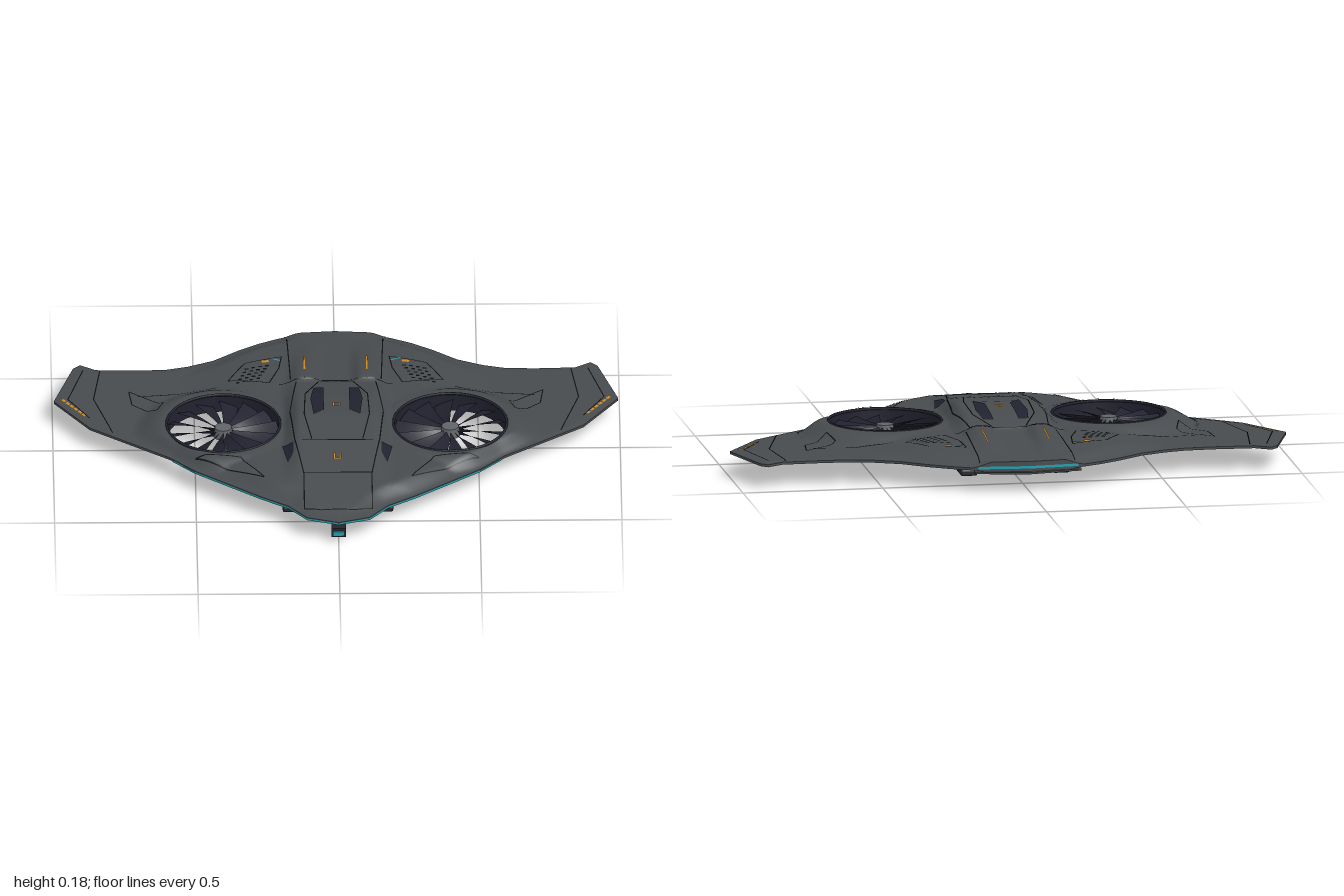
import * as THREE from 'three';
import { RoundedBoxGeometry } from 'three/addons/geometries/RoundedBoxGeometry.js';

const paint = (name, color, side = THREE.FrontSide) => {
  const m = new THREE.MeshStandardMaterial({ color, side });
  m.name = name;
  return m;
};
const V = (x, y, z) => new THREE.Vector3(x, y, z);
const smooth = (a, b, t) => THREE.MathUtils.smoothstep(t, a, b);
const mix = THREE.MathUtils.lerp;

// Piecewise linear profile, points sorted by their first value
function profile(pts, t) {
  for (let i = 1; i < pts.length; i++) {
    const [a, u] = pts[i - 1], [b, v] = pts[i];
    if (t <= b) return mix(u, v, Math.max(0, (t - a) / (b - a)));
  }
  return pts[pts.length - 1][1];
}

// Half planform [x, z] from nose to wing tip to tail
const OUTLINE = [[0, 0.655], [0.11, 0.62], [0.175, 0.54], [0.27, 0.475], [0.5, 0.295], [0.59, 0.2],
  [0.87, -0.01], [0.995, -0.195], [0.925, -0.42], [0.9, -0.445], [0.845, -0.41], [0.7, -0.405],
  [0.595, -0.41], [0.52, -0.43], [0.43, -0.47], [0.34, -0.54], [0.27, -0.585], [0.2, -0.62], [0, -0.638]];
const EDGE_SEGMENTS = OUTLINE.length - 2; // the blunt tail does not thin out
const FAN = { x: 0.4, z: 0.04, r: 0.2 };
const SPINE = [[-0.66, 0.108], [-0.24, 0.138], [-0.23, 0.148], [-0.1, 0.17], [0, 0.179], [0.06, 0.183],
  [0.2, 0.17], [0.4, 0.14], [0.55, 0.11], [0.66, 0.09]];
const KEEL = [[-0.66, 0.07], [-0.25, 0.065], [-0.07, 0.04], [0.2, 0.03], [0.4, 0.037], [0.6, 0.045], [0.66, 0.06]];

function edgeDistance(x, z) {
  let best = 9;
  for (let i = 0; i < EDGE_SEGMENTS; i++) {
    const [ax, az] = OUTLINE[i], dx = OUTLINE[i + 1][0] - ax, dz = OUTLINE[i + 1][1] - az;
    const t = THREE.MathUtils.clamp(((x - ax) * dx + (z - az) * dz) / (dx * dx + dz * dz), 0, 1);
    best = Math.min(best, Math.hypot(x - ax - t * dx, z - az - t * dz));
  }
  return best;
}
const nearFan = (x, z) => 1 - smooth(0.215, 0.33, Math.hypot(x - FAN.x, z - FAN.z));

// Height of the upper skin
function top(x, z) {
  x = Math.abs(x);
  const d = edgeDistance(x, z), spine = profile(SPINE, z);
  const body = mix(spine, Math.min(spine, 0.13), smooth(0.13, 0.2, x));
  const hump = 0.022 * smooth(0.045, 0.09, x) * (1 - smooth(0.12, 0.18, x))
    * smooth(-0.62, -0.26, z) * (1 - smooth(-0.24, -0.225, z));
  const bodyLift = (body + hump - 0.09) * (1 - smooth(0.25, 0.6, x)) * smooth(0, 0.08, d);
  return 0.09 + Math.max(0.003 * smooth(0, 0.03, d), bodyLift, 0.045 * nearFan(x, z) * smooth(0, 0.06, d));
}
// Height of the lower skin
function bottom(x, z) {
  x = Math.abs(x);
  const d = edgeDistance(x, z);
  const drop = (0.081 - profile(KEEL, z)) * (1 - smooth(0.15, 0.55, x)) * smooth(0, 0.08, d);
  return 0.081 - Math.max(0, drop, 0.016 * nearFan(x, z) * smooth(0, 0.06, d));
}

// Surface through rows of points
function grid(rows) {
  const n = rows[0].length, index = [];
  for (let i = 0; i < rows.length - 1; i++) for (let j = 0; j < n - 1; j++) {
    const a = i * n + j, d = a + n;
    index.push(a, a + 1, d + 1, a, d + 1, d);
  }
  const g = new THREE.BufferGeometry().setFromPoints(rows.flat());
  g.setIndex(index);
  g.computeVertexNormals();
  return g;
}
function mirrored(geo) {
  const g = geo.clone().scale(-1, 1, 1), a = g.index.array;
  for (let i = 0; i < a.length; i += 3) [a[i], a[i + 1]] = [a[i + 1], a[i]];
  return g;
}
function subdivide(pts, step) {
  const out = [];
  for (let i = 0; i < pts.length - 1; i++) {
    const [ax, az] = pts[i], [bx, bz] = pts[i + 1], n = Math.ceil(Math.hypot(bx - ax, bz - az) / step);
    for (let k = 0; k < n; k++) out.push([mix(ax, bx, k / n), mix(az, bz, k / n)]);
  }
  return [...out, pts[pts.length - 1]];
}
// Four-cornered decal draped over a skin
function patch([a, b, c, d], skin = top, lift = 0.003, n = 8, m = 8) {
  const rows = [];
  for (let i = 0; i <= n; i++) rows.push(Array.from({ length: m + 1 }, (_, j) => {
    const u = i / n, v = j / m;
    const x = mix(mix(a[0], b[0], u), mix(d[0], c[0], u), v), z = mix(mix(a[1], b[1], u), mix(d[1], c[1], u), v);
    return V(x, skin(x, z) + lift, z);
  }));
  return grid(rows);
}
// Thin draped line between two points
function line([ax, az], [bx, bz], w = 0.004, skin = top, lift = 0.002) {
  const len = Math.hypot(bx - ax, bz - az), nx = -(bz - az) / len * w / 2, nz = (bx - ax) / len * w / 2;
  return patch([[ax + nx, az + nz], [bx + nx, bz + nz], [bx - nx, bz - nz], [ax - nx, az - nz]], skin, lift,
    Math.ceil(len / 0.02), 1);
}

export function createModel() {
  const model = new THREE.Group();
  const hull = paint('hull grey', 0x474b4e);
  const dark = paint('fan dark', 0x222230, THREE.DoubleSide);
  const black = paint('panel line black', 0x0c0d0f, THREE.DoubleSide);
  const orange = paint('marking orange', 0xd08a1c, THREE.DoubleSide);
  const cyan = paint('light cyan', 0x1f9fb0, THREE.DoubleSide);
  const metal = paint('strut metal', 0x606468);
  const gear = paint('gear dark', 0x25262d);
  const add = (name, geo, mat) => {
    const m = new THREE.Mesh(geo, mat);
    m.name = name;
    model.add(m);
  };
  const both = (name, geo, mat) => { add(name + 'Left', geo, mat); add(name + 'Right', mirrored(geo), mat); };

  // Hull skins: rays from the fan opening out to the planform edge
  const rim = subdivide(OUTLINE, 0.025), loop = subdivide([...OUTLINE, OUTLINE[0]], 0.022);
  const skinRows = (skin) => loop.map(([x, z]) => {
    const dx = x - FAN.x, dz = z - FAN.z, len = Math.hypot(dx, dz);
    return Array.from({ length: 29 }, (_, j) => {
      const r = mix(FAN.r, len, j / 28), px = FAN.x + dx / len * r, pz = FAN.z + dz / len * r;
      return V(px, skin(px, pz), pz);
    });
  });
  const upper = skinRows(top), lower = skinRows(bottom);
  both('upperHull', grid(upper), hull);
  both('lowerHull', grid(lower.map((r) => [...r].reverse())), hull);
  both('hullEdge', grid(rim.map(([x, z]) => [V(x, top(x, z), z), V(x, bottom(x, z), z)])), hull);
  both('fanDuct', grid(upper.map((r, i) => [lower[i][0], r[0]])), dark);

  // Fans: rim, hub and pitched blades
  both('fanRim', new THREE.TorusGeometry(FAN.r, 0.005, 6, 56).rotateX(Math.PI / 2).translate(FAN.x, 0.134, FAN.z), dark);
  both('fanHub', new THREE.CylinderGeometry(0.03, 0.036, 0.035, 24).translate(FAN.x, 0.103, FAN.z), metal);
  const BLADES = 14;
  for (let b = 0; b < BLADES; b++) {
    const rows = [0, 1, 2, 3, 4, 5].map((i) => {
      const r = mix(0.03, 0.196, i / 5), mid = b / BLADES * Math.PI * 2 + 0.12 * i / 5;
      const half = Math.PI / BLADES - mix(0.012, 0.05, i / 5);
      return [-1, 0, 1].map((s) => V(FAN.x + r * Math.cos(mid + s * half), 0.1 + s * 0.012, FAN.z + r * Math.sin(mid + s * half)));
    });
    both('fanBlade', grid(rows), dark);
  }

  // Landing gear
  for (const [z, h] of [[0.39, 0.05], [-0.3, 0.072]]) {
    both('landingFoot', new RoundedBoxGeometry(0.06, 0.024, 0.1, 2, 0.008).toNonIndexed().translate(0.165, 0.015, z)
      .setIndex([...Array(new RoundedBoxGeometry(0.06, 0.024, 0.1, 2, 0.008).toNonIndexed().attributes.position.count).keys()]), gear);
    both('landingStrut', new THREE.CylinderGeometry(0.02, 0.015, h - 0.02, 16).translate(0.165, (h + 0.02) / 2, z), metal);
    both('landingCollar', new THREE.BoxGeometry(0.05, 0.012, 0.06).translate(0.165, h - 0.008, z), gear);
  }

  // Nose sensor and tail lip
  add('noseSensor', new THREE.BoxGeometry(0.05, 0.034, 0.045).translate(0, 0.047, 0.63), gear);
  add('noseLens', new THREE.BoxGeometry(0.036, 0.016, 0.006).translate(0, 0.045, 0.654), cyan);
  const lip = new THREE.Shape([[-0.19, 0.59], [0.19, 0.59], [0.19, 0.625], [0, 0.66], [-0.19, 0.625]].map((p) => new THREE.Vector2(...p)));
  add('tailLip', new THREE.ExtrudeGeometry(lip, { depth: 0.006, bevelEnabled: false }).rotateX(-Math.PI / 2).translate(0, 0.068, 0), hull);

  // Light strips along the leading edge and tail
  const strip = (pts, y0, y1) => grid(pts.map(([x, z]) => {
    const k = 1 + 0.004 / Math.hypot(x, z);
    return [V(x * k, y1, z * k), V(x * k, y0, z * k)];
  }));
  both('edgeLight', strip(rim.filter(([, z]) => z > 0.2), 0.082, 0.089), cyan);
  both('tailLight', strip(rim.filter(([x, z]) => x < 0.19 && z < -0.6), 0.085, 0.094), cyan);

  // Cockpit windows and side intakes
  both('cockpitWindow', patch([[0.045, -0.155], [0.08, -0.155], [0.092, -0.06], [0.045, -0.06]]), dark);
  both('cockpitWindow', patch([[0.045, -0.06], [0.092, -0.06], [0.082, 0.065], [0.045, 0.03]]), dark);
  both('sideIntake', patch([[0.155, 0.21], [0.195, 0.2], [0.175, 0.32], [0.155, 0.27]]), dark);

  // Panel lines
  const paths = [
    [[0.14, -0.22], [0.165, 0], [0.15, 0.2], [0.12, 0.4], [0.12, 0.57], [0.06, 0.585], [0, 0.585]],
    [[0, 0.215], [0.125, 0.215]], [[0, 0.395], [0.12, 0.395]], [[0, -0.232], [0.2, -0.232]],
    [[0.06, -0.22], [0.11, -0.1], [0.115, 0.06], [0.09, 0.21]],
    [[0.73, -0.25], [0.61, -0.155], [0.63, -0.08], [0.72, -0.16], [0.73, -0.25]],
    [[0.26, 0.4], [0.34, 0.27], [0.5, 0.25], [0.26, 0.4]],
    [[0.19, -0.435], [0.32, -0.39], [0.38, -0.28], [0.235, -0.245], [0.2, -0.345], [0.19, -0.435]],
    [[0.83, -0.4], [0.855, -0.2], [0.79, 0.03]], [[0.89, -0.4], [0.945, -0.2], [0.87, -0.07]],
    [[0.42, -0.245], [0.7, -0.215]], [[0.16, -0.25], [0.17, -0.6]],
  ];
  for (const p of paths) for (let i = 1; i < p.length; i++) both('panelLine', line(p[i - 1], p[i]), black);
  const under = [[[0.1, 0.5], [0.1, -0.4]], [[0, 0.2], [0.2, 0.2]], [[0, -0.07], [0.2, -0.07]], [[0.1, -0.4], [0.3, -0.4]]];
  for (const [a, b] of under) both('lowerPanelLine', line(a, b, 0.004, bottom, -0.002), black);

  // Rear vents: rows of small slots
  for (let i = 0; i < 5; i++) for (let j = 0; j < 4; j++) {
    const x = 0.235 + j * 0.024 + i * 0.008, z = -0.365 + i * 0.022 + j * 0.006;
    both('ventSlot', line([x, z], [x + 0.013, z], 0.009), black);
  }

  // Orange and cyan markings
  both('rearMarking', line([0.11, -0.415], [0.11, -0.295], 0.006), orange);
  both('ventMarking', line([0.235, -0.402], [0.26, -0.396], 0.016), orange);
  both('ventLight', line([0.195, -0.405], [0.23, -0.425], 0.007), cyan);
  for (let i = 0; i < 6; i++) {
    const at = (t) => [mix(0.965, 0.88, t), mix(-0.2, -0.08, t)];
    both('tipMarking', line(at(i / 6), at((i + 0.75) / 6), 0.01), orange);
  }
  for (const [z, closed] of [[-0.01, true], [0.305, false]]) {
    both('centreMarking', line([0.011, z - 0.016], [0.011, z + 0.016], 0.006, top, 0.004), orange);
    add('centreMarkingFront', line([-0.011, z + 0.014], [0.011, z + 0.014], 0.006, top, 0.004), orange);
    if (closed) add('centreMarkingBack', line([-0.011, z - 0.014], [0.011, z - 0.014], 0.006, top, 0.004), orange);
  }
  return model;
}
